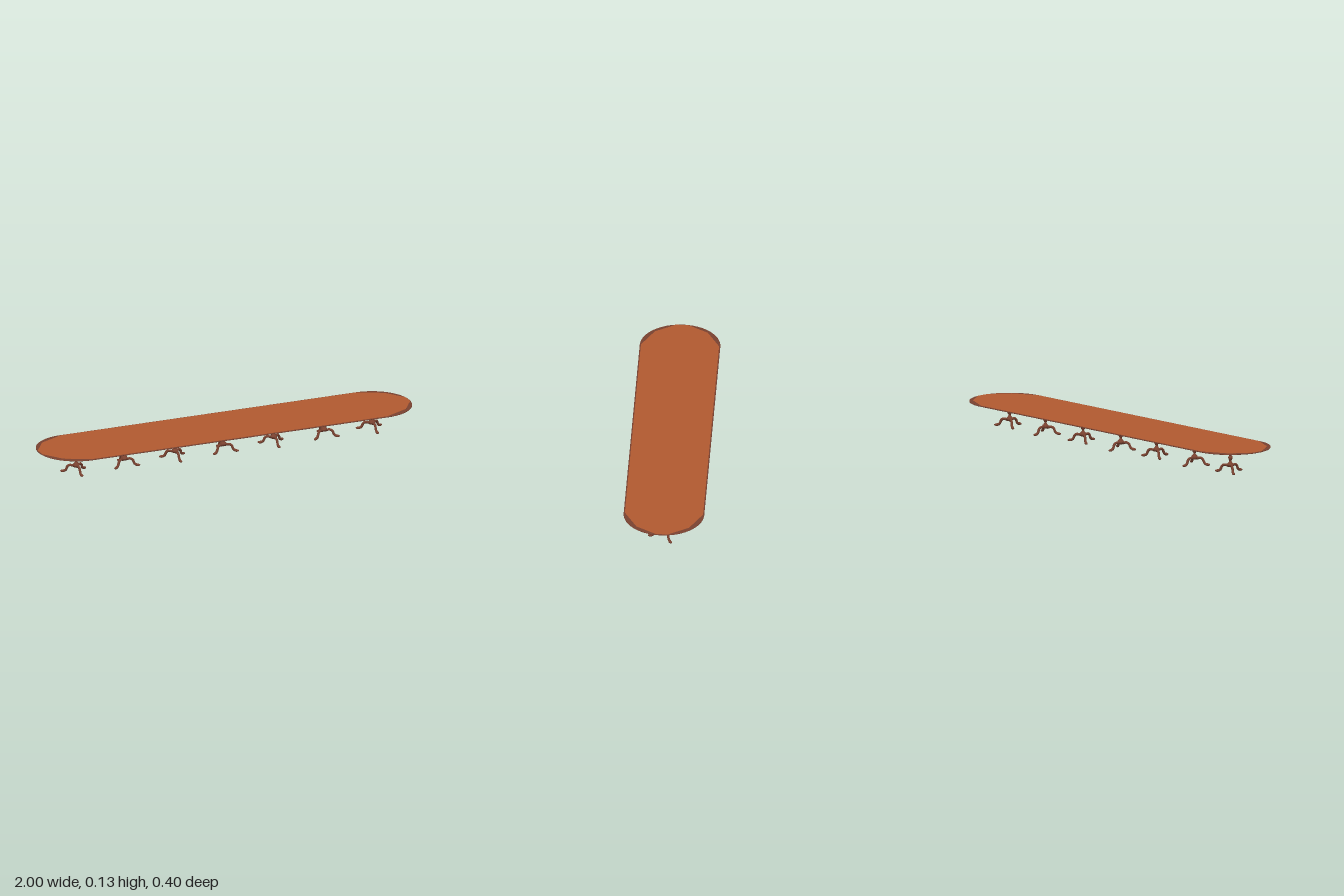
import * as THREE from 'three';
import { toCreasedNormals } from 'three/addons/utils/BufferGeometryUtils.js';

const topWood = new THREE.MeshStandardMaterial({ name: 'warm brown wood', color: 0xb25a30 });
const baseWood = new THREE.MeshStandardMaterial({ name: 'dark red wood', color: 0x7a4230 });

function part(name, geometry, material) {
  const mesh = new THREE.Mesh(geometry, material);
  mesh.name = name;
  return mesh;
}

// Dark board with half-round ends and a softened rim
function createBoard() {
  const bevel = 0.004, radius = 0.2 - bevel, straight = 0.8;
  const outline = new THREE.Shape();
  outline.moveTo(-straight, -radius);
  outline.lineTo(straight, -radius);
  outline.absarc(straight, 0, radius, -Math.PI / 2, Math.PI / 2, false);
  outline.lineTo(-straight, radius);
  outline.absarc(-straight, 0, radius, Math.PI / 2, Math.PI * 1.5, false);
  const geometry = new THREE.ExtrudeGeometry(outline, {
    depth: 0.002, bevelThickness: 0.0015, bevelSize: bevel, bevelSegments: 2, curveSegments: 20,
  });
  geometry.rotateX(-Math.PI / 2);
  geometry.translate(0, 0.129, 0);
  return part('tableBoard', toCreasedNormals(geometry, 0.5), baseWood);
}

// Lighter panel with faceted ends, leaving dark slivers at the rounded corners
const quarter = [[0.8, 0.194], [0.927, 0.131], [0.995, 0.03]];
const panelOutline = new THREE.Shape([
  ...quarter.map(([x, z]) => new THREE.Vector2(x, z)),
  ...quarter.toReversed().map(([x, z]) => new THREE.Vector2(x, -z)),
  ...quarter.map(([x, z]) => new THREE.Vector2(-x, -z)),
  ...quarter.toReversed().map(([x, z]) => new THREE.Vector2(-x, z)),
]);
const panelGeometry = new THREE.ExtrudeGeometry(panelOutline, { depth: 0.001, bevelEnabled: false });
panelGeometry.rotateX(-Math.PI / 2);

function createPanel(name, y) {
  const panel = part(name, panelGeometry, topWood);
  panel.position.y = y;
  return panel;
}

// Turned column: [radius, height] from the bottom of the hub to the flared head
const columnProfile = [
  [0, 0.029], [0.012, 0.03], [0.017, 0.035], [0.018, 0.041], [0.014, 0.047], [0.009, 0.052],
  [0.006, 0.057], [0.006, 0.062], [0.009, 0.067], [0.0115, 0.075], [0.009, 0.083],
  [0.006, 0.087], [0.0095, 0.09], [0.0095, 0.094], [0.013, 0.098], [0.024, 0.109],
  [0.031, 0.116], [0.031, 0.128],
].map(([r, y]) => new THREE.Vector2(r, y));
const columnGeometry = toCreasedNormals(new THREE.LatheGeometry(columnProfile, 16), 0.7);

// Arched leg sweeping out along +z
const legPath = new THREE.CatmullRomCurve3([
  [0.01, 0.034], [0.022, 0.038], [0.034, 0.038], [0.043, 0.032],
  [0.048, 0.021], [0.054, 0.011], [0.068, 0.007],
].map(([z, y]) => new THREE.Vector3(0, y, z)));
const legGeometry = new THREE.TubeGeometry(legPath, 18, 0.0065, 8);

// Rounded pad foot
const footGeometry = new THREE.SphereGeometry(1, 12, 8);
footGeometry.scale(0.008, 0.0062, 0.013);
footGeometry.translate(0, 0.0062, 0.0675);

function createPedestal(x, turn) {
  const pedestal = new THREE.Group();
  pedestal.name = 'pedestal';
  pedestal.add(part('column', columnGeometry, baseWood));
  for (let i = 0; i < 3; i++) {
    const leg = new THREE.Group();
    leg.name = 'leg';
    leg.add(part('legArch', legGeometry, baseWood), part('foot', footGeometry, baseWood));
    leg.rotation.y = (i * Math.PI * 2) / 3;
    pedestal.add(leg);
  }
  pedestal.position.x = x;
  pedestal.rotation.y = turn;
  return pedestal;
}

export function createModel() {
  const table = new THREE.Group();
  table.name = 'longTable';
  table.add(createBoard(), createPanel('topPanel', 0.132), createPanel('undersidePanel', 0.127));
  // Neighbouring tripods face opposite ways
  [-0.8, -0.54, -0.265, -0.005, 0.268, 0.54, 0.8].forEach((x, i) => {
    table.add(createPedestal(x, i % 2 ? Math.PI : 0));
  });
  return table;
}
